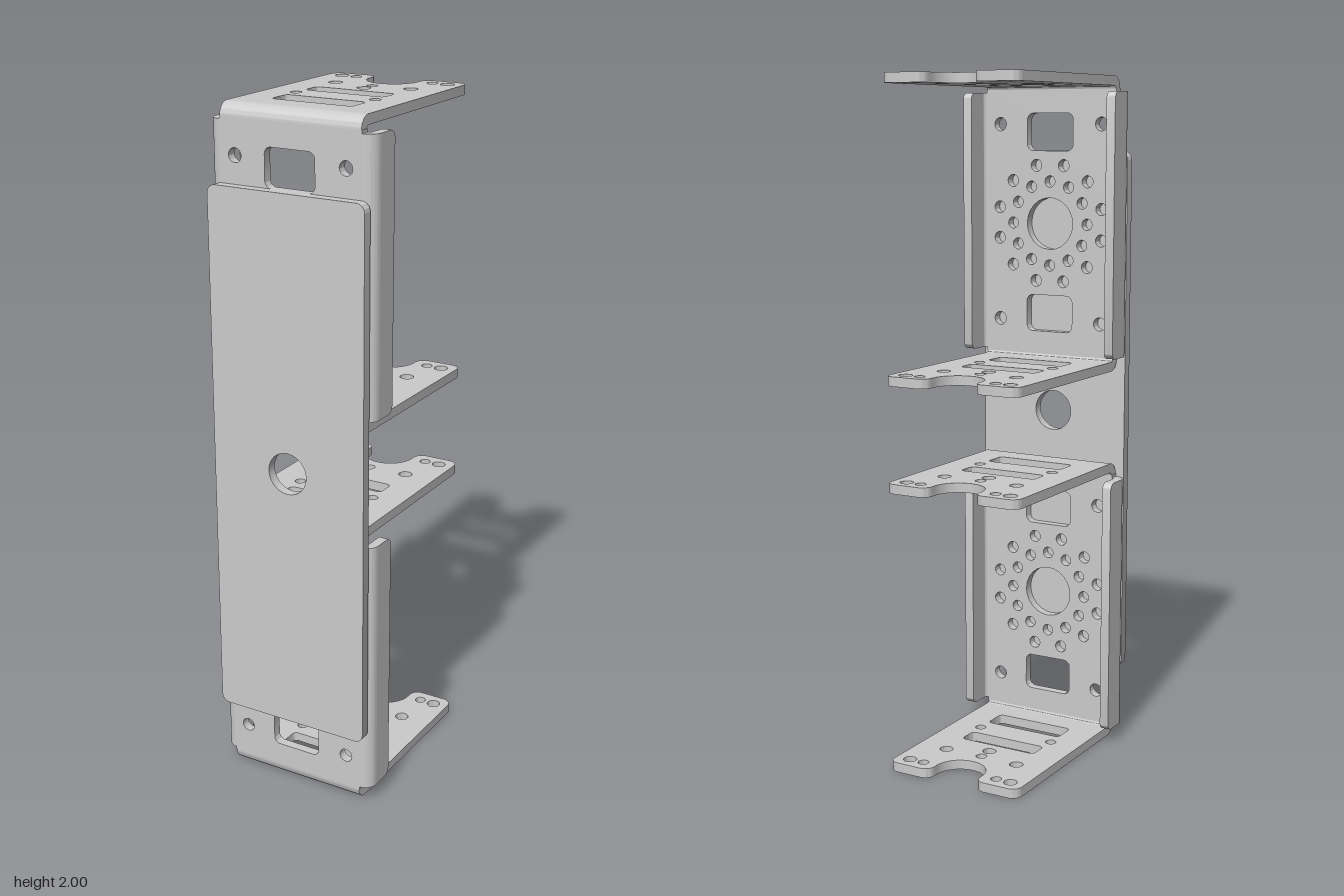
import * as THREE from 'three';
import { toCreasedNormals } from 'three/addons/utils/BufferGeometryUtils.js';

const T = 0.028;        // sheet thickness
const R = 0.036;        // outer bend radius
const FRONT = 0.285;    // front face of the channels
const HALF = 0.43;      // half height of one channel
const WEB_X = 0.217;    // half width of the flat web
const FLANGE_Y = 0.385; // half height of the side flanges

const material = new THREE.MeshStandardMaterial({ color: 0xcccccc });

function extrude(shape, depth) {
  return new THREE.ExtrudeGeometry(shape, { depth, bevelEnabled: false, curveSegments: 12 });
}

function addMesh(parent, name, geometry) {
  const mesh = new THREE.Mesh(toCreasedNormals(geometry, 0.6), material);
  mesh.name = name;
  parent.add(mesh);
  return mesh;
}

function circle(x, y, r) {
  return new THREE.Path().absarc(x, y, r, 0, Math.PI * 2, true);
}

function roundedRect(path, x0, y0, x1, y1, r) {
  path.absarc(x1 - r, y1 - r, r, 0, Math.PI / 2);
  path.absarc(x0 + r, y1 - r, r, Math.PI / 2, Math.PI);
  path.absarc(x0 + r, y0 + r, r, Math.PI, Math.PI * 1.5);
  path.absarc(x1 - r, y0 + r, r, Math.PI * 1.5, Math.PI * 2);
  path.closePath();
  return path;
}

// Quarter-round sheet bend, centred along its length
function bend(length) {
  const s = new THREE.Shape();
  s.absarc(0, 0, R, 0, Math.PI / 2);
  s.absarc(0, 0, R - T, Math.PI / 2, 0, true);
  s.closePath();
  return extrude(s, length).translate(0, 0, -length / 2);
}

// Flat front web with windows, corner holes and the ring pattern
function webGeometry() {
  const h = HALF - R;
  const s = new THREE.Shape();
  s.moveTo(-WEB_X, -h).lineTo(WEB_X, -h).lineTo(WEB_X, h).lineTo(-WEB_X, h).closePath();
  s.holes.push(circle(0, 0, 0.077));
  for (const side of [-1, 1]) {
    const y = side * 0.27;
    s.holes.push(roundedRect(new THREE.Path(), -0.077, y - 0.055, 0.077, y + 0.055, 0.02));
    for (const x of [-0.17, 0.17]) s.holes.push(circle(x, side * 0.293, 0.02));
  }
  for (let i = 0; i < 12; i++) {
    const a = (i / 12) * Math.PI * 2;
    const b = a + Math.PI / 12;
    s.holes.push(circle(0.125 * Math.cos(a), 0.125 * Math.sin(a), 0.017));
    s.holes.push(circle(0.178 * Math.cos(b), 0.178 * Math.sin(b), 0.018));
  }
  return extrude(s, T).translate(0, 0, FRONT - T);
}

// Horizontal shelf with two tabs, a round notch and mounting holes
function shelfGeometry() {
  const w = 0.215, back = 0.315, r = 0.03, n = 0.077, nz = 0.272;
  const s = new THREE.Shape();
  s.moveTo(-w, R - FRONT).lineTo(w, R - FRONT);
  s.absarc(w - r, back - r, r, 0, Math.PI / 2);
  s.absarc(n + r, back - r, r, Math.PI / 2, Math.PI);
  s.absarc(0, nz, n, 0, Math.PI, true);
  s.absarc(-n - r, back - r, r, 0, Math.PI / 2);
  s.absarc(-w + r, back - r, r, Math.PI / 2, Math.PI);
  s.closePath();
  for (const side of [-1, 1]) {
    s.holes.push(
      circle(side * 0.17, 0.272, 0.02),
      circle(side * 0.123, 0.272, 0.016),
      circle(side * 0.12, 0.151, 0.02),
      circle(side * 0.123, -0.053, 0.016)
    );
  }
  s.holes.push(circle(0, 0.148, 0.016), circle(0, 0.102, 0.02));
  s.holes.push(roundedRect(new THREE.Path(), -0.124, -0.007, 0.124, 0.056, 0.015));
  s.holes.push(roundedRect(new THREE.Path(), -0.124, -0.177, 0.124, -0.1, 0.015));
  return extrude(s, T).rotateX(-Math.PI / 2).translate(0, HALF - T, 0);
}

// Side flange with its two rear corners rounded
function flangeGeometry() {
  const back = 0.178, front = FRONT - R, r = 0.022;
  const s = new THREE.Shape();
  s.moveTo(front, -FLANGE_Y).lineTo(front, FLANGE_Y);
  s.absarc(back + r, FLANGE_Y - r, r, Math.PI / 2, Math.PI);
  s.absarc(back + r, -FLANGE_Y + r, r, Math.PI, Math.PI * 1.5);
  s.closePath();
  return extrude(s, T).rotateY(-Math.PI / 2).translate(WEB_X + R, 0, 0);
}

function createChannel() {
  const channel = new THREE.Group();
  addMesh(channel, 'web', webGeometry());

  // Each half turn about z gives the opposite shelf and flange
  for (const turn of [0, Math.PI]) {
    const shelf = new THREE.Group();
    shelf.name = turn ? 'lowerShelf' : 'upperShelf';
    addMesh(shelf, 'shelfPlate', shelfGeometry());
    addMesh(shelf, 'shelfBend', bend(0.43).rotateY(-Math.PI / 2).translate(0, HALF - R, FRONT - R));
    shelf.rotation.z = turn;

    const flange = new THREE.Group();
    flange.name = turn ? 'rightFlange' : 'leftFlange';
    addMesh(flange, 'flangePlate', flangeGeometry());
    addMesh(flange, 'flangeBend', bend(FLANGE_Y * 2).rotateX(Math.PI / 2).translate(WEB_X, 0, FRONT - R));
    flange.rotation.z = turn;
    channel.add(shelf, flange);
  }
  return channel;
}

export function createModel() {
  const model = new THREE.Group();
  model.name = 'doubleBracket';

  // Two identical channels, one above the other
  for (const [name, y] of [['lowerChannel', HALF], ['upperChannel', 2 - HALF]]) {
    const channel = createChannel();
    channel.name = name;
    channel.position.y = y;
    model.add(channel);
  }

  // Front plate joining the channels
  const plate = roundedRect(new THREE.Shape(), -0.242, 0.215, 0.242, 1.785, 0.025);
  plate.holes.push(circle(0, 1, 0.061));
  addMesh(model, 'joiningPlate', extrude(plate, 0.03).translate(0, 0, FRONT));

  return model;
}
